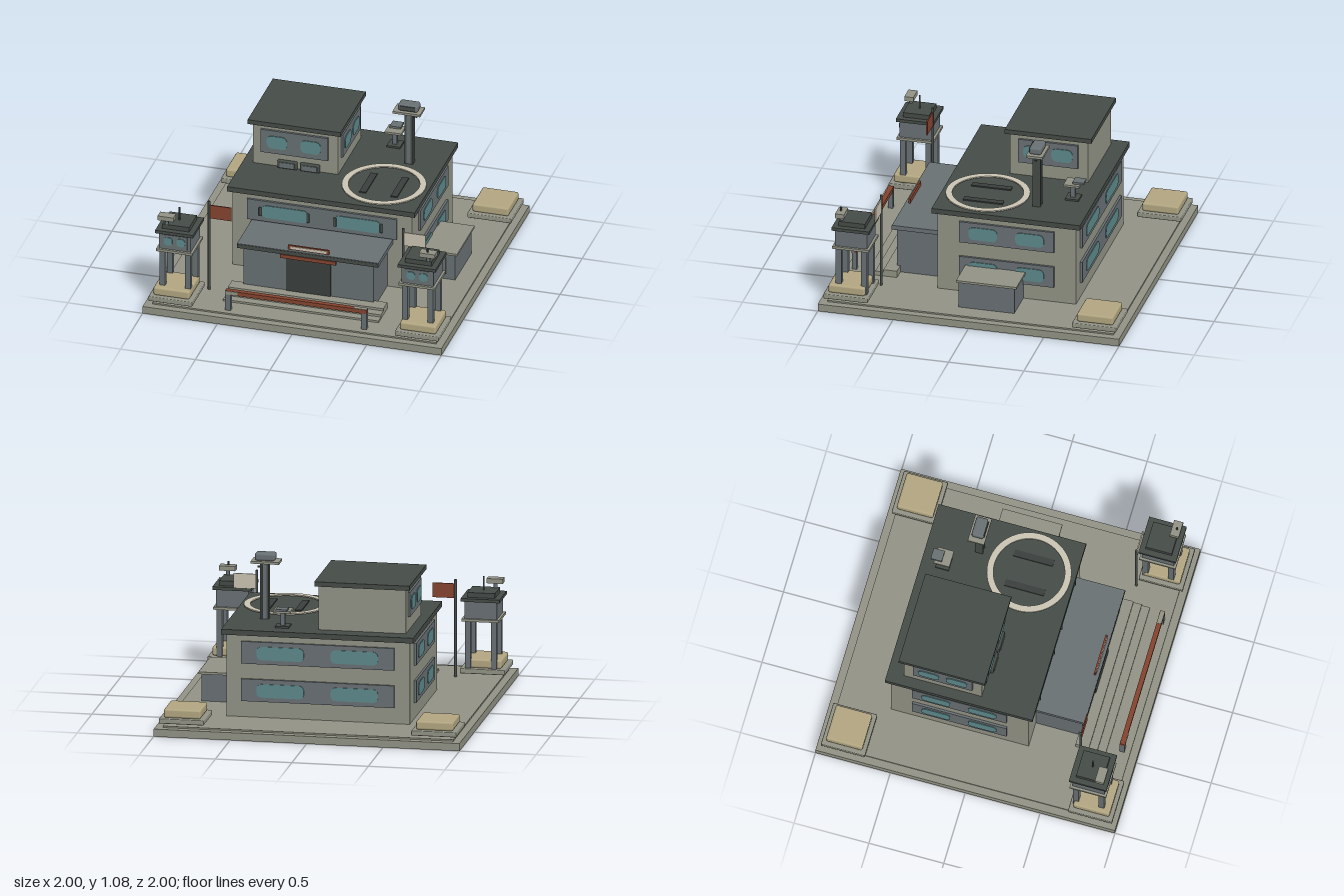
import * as THREE from 'three';
import { RoundedBoxGeometry } from 'three/addons/geometries/RoundedBoxGeometry.js';

const mat = (name, color, side = THREE.FrontSide) => {
  const m = new THREE.MeshStandardMaterial({ color, side });
  m.name = name;
  return m;
};

export function createModel() {
  const concrete = mat('concrete', 0x929385);
  const steel = mat('steel grey', 0x687073);
  const roofDark = mat('dark roof', 0x454b47);
  const doorDark = mat('door dark', 0x3a3f3c);
  const glass = mat('teal glass', 0x5d898b);
  const sand = mat('sand', 0xb1a580);
  const red = mat('rust red', 0x84432f);
  const cream = mat('cream', 0xcac3b2, THREE.DoubleSide);

  const model = new THREE.Group();
  model.name = 'outpost';

  const group = (name, parent = model) => {
    const g = new THREE.Group();
    g.name = name;
    parent.add(g);
    return g;
  };
  // Box given by its limits on each axis
  const box = (parent, name, m, [x0, x1], [y0, y1], [z0, z1], round = 0) => {
    const s = [x1 - x0, y1 - y0, z1 - z0];
    const geo = round ? new RoundedBoxGeometry(...s, 2, round) : new THREE.BoxGeometry(...s);
    const mesh = new THREE.Mesh(geo, m);
    mesh.name = name;
    mesh.position.set((x0 + x1) / 2, (y0 + y1) / 2, (z0 + z1) / 2);
    parent.add(mesh);
    return mesh;
  };
  const pole = (parent, name, m, r, x, y0, y1, z) => {
    const mesh = new THREE.Mesh(new THREE.CylinderGeometry(r, r, y1 - y0, 10), m);
    mesh.name = name;
    mesh.position.set(x, (y0 + y1) / 2, z);
    parent.add(mesh);
  };
  // Flat pane with rounded corners
  const pane = (parent, cx, cy, z, w, h) => {
    const s = new THREE.Shape(), a = w / 2, b = h / 2, r = Math.min(a, b) * 0.75;
    s.absarc(a - r, b - r, r, 0, Math.PI / 2);
    s.absarc(-a + r, b - r, r, Math.PI / 2, Math.PI);
    s.absarc(-a + r, -b + r, r, Math.PI, Math.PI * 1.5);
    s.absarc(a - r, -b + r, r, Math.PI * 1.5, Math.PI * 2);
    const geo = new THREE.ExtrudeGeometry(s, { depth: 0.005, bevelEnabled: false, curveSegments: 5 });
    const mesh = new THREE.Mesh(geo, glass);
    mesh.name = 'windowPane';
    mesh.position.set(cx, cy, z);
    parent.add(mesh);
  };
  // Window band: grey plate with panes, facing local +z
  const windowBand = (parent, pos, turn, w, h, panes, paneH) => {
    const g = group('windowBand', parent);
    g.position.set(...pos);
    g.rotation.y = turn;
    box(g, 'bandPlate', steel, [-w / 2, w / 2], [-h / 2, h / 2], [-0.01, 0.015]);
    for (const [cx, pw] of panes) pane(g, cx, 0, 0.015, pw, paneH);
    return g;
  };
  const RIGHT = Math.PI / 2;

  // Ground slab
  box(model, 'groundSlab', concrete, [-1, 1], [0, 0.05], [-1, 1]);
  box(model, 'yardSlab', concrete, [-0.95, 0.95], [0.05, 0.06], [-0.95, 0.95]);

  // Main building
  const main = group('mainBuilding');
  box(main, 'mainWalls', concrete, [-0.6, 0.6], [0.06, 0.605], [-0.61, 0.31]);
  box(main, 'mainRoof', roofDark, [-0.628, 0.628], [0.605, 0.64], [-0.643, 0.343]);
  const longPanes = [[-0.245, 0.31], [0.24, 0.31]];
  const sidePanes = [[-0.155, 0.19], [0.155, 0.19]];
  const front = windowBand(main, [0, 0.488, 0.31], 0, 1, 0.147, longPanes, 0.088);
  for (const x of [-0.41, -0.09, 0.09, 0.4])
    box(front, 'shutterClip', roofDark, [x - 0.01, x + 0.01], [-0.035, 0.03], [0.015, 0.028], 0.006);
  for (const y of [0.488, 0.24]) {
    windowBand(main, [0, y, -0.61], Math.PI, 1, 0.147, longPanes, 0.088);
    for (const s of [-1, 1])
      windowBand(main, [s * 0.6, y, -0.15], s * RIGHT, 0.63, 0.147, sidePanes, 0.088);
  }

  // Upper storey
  const upper = group('upperStorey');
  box(upper, 'upperWalls', concrete, [-0.56, 0.01], [0.64, 0.935], [-0.535, -0.015]);
  box(upper, 'upperRoof', roofDark, [-0.588, 0.034], [0.932, 0.963], [-0.562, 0.013]);
  const upperPanes = [[-0.115, 0.135], [0.11, 0.135]];
  windowBand(upper, [-0.28, 0.817, -0.015], 0, 0.45, 0.165, upperPanes, 0.09);
  for (const [x, s] of [[-0.56, -1], [0.01, 1]])
    windowBand(upper, [x, 0.817, -0.272], s * RIGHT, 0.395, 0.165, [[-0.093, 0.14], [0.093, 0.14]], 0.09);
  for (const x of [-0.325, -0.175]) {
    box(upper, 'ventUnit', roofDark, [x - 0.066, x + 0.066], [0.64, 0.695], [-0.015, 0.012], 0.008);
    box(upper, 'ventGrille', steel, [x - 0.05, x + 0.05], [0.65, 0.685], [0.01, 0.016]);
  }

  // Entrance block with steps and door
  const entrance = group('entrance');
  box(entrance, 'entranceWalls', steel, [-0.435, 0.435], [0.06, 0.378], [0.31, 0.622]);
  box(entrance, 'entranceRoof', steel, [-0.473, 0.473], [0.376, 0.406], [0.31, 0.645]);
  box(entrance, 'roofEdge', roofDark, [-0.473, 0.473], [0.376, 0.403], [0.645, 0.648]);
  box(entrance, 'door', doorDark, [-0.15, 0.15], [0.1, 0.345], [0.62, 0.63]);
  box(entrance, 'doorLintel', red, [-0.187, 0.187], [0.345, 0.37], [0.62, 0.643]);
  box(entrance, 'signBoard', red, [-0.137, 0.137], [0.406, 0.436], [0.613, 0.625]);
  box(entrance, 'signFace', cream, [-0.12, 0.12], [0.412, 0.43], [0.625, 0.629]);
  [0.69, 0.745, 0.8].forEach((z, i) =>
    box(entrance, 'step', concrete, [-0.52, 0.52], [0.06, 0.105 - i * 0.016], [0.6, z]));

  // Side shed
  const shed = group('sideShed');
  box(shed, 'shedWalls', steel, [0.6, 0.83], [0.06, 0.243], [-0.26, 0.11]);
  box(shed, 'shedRoof', concrete, [0.6, 0.846], [0.241, 0.256], [-0.278, 0.122]);
  box(shed, 'shedHatch', steel, [0.64, 0.77], [0.1, 0.22], [0.11, 0.124]);

  // Gate barrier
  const barrier = group('barrier');
  box(barrier, 'barrierBeam', red, [-0.473, 0.473], [0.175, 0.203], [0.882, 0.914]);
  box(barrier, 'beamEnd', concrete, [-0.474, -0.39], [0.177, 0.201], [0.913, 0.917]);
  box(barrier, 'beamEnd', concrete, [0.385, 0.474], [0.202, 0.206], [0.884, 0.912]);
  for (const x of [-0.455, 0.455])
    box(barrier, 'barrierPost', steel, [x - 0.018, x + 0.018], [0.06, 0.19], [0.88, 0.912]);

  // Corner pads
  for (const sx of [-1, 1]) for (const sz of [-1, 1]) {
    const pad = group('cornerPad');
    pad.position.set(sx * 0.825, 0, sz * 0.825);
    box(pad, 'padSlab', concrete, [-0.147, 0.147], [0.08, 0.113], [-0.147, 0.147], 0.006);
    box(pad, 'sandBlock', sand, [-0.121, 0.121], [0.113, 0.172], [-0.121, 0.121], 0.014);
  }

  // Watchtowers
  for (const s of [-1, 1]) {
    const t = group('watchtower');
    t.position.set(s * 0.812, 0, 0.8);
    for (const x of [-0.085, 0.085]) for (const z of [-0.085, 0.085])
      box(t, 'towerLeg', steel, [x - 0.019, x + 0.019], [0.11, 0.43], [z - 0.019, z + 0.019]);
    box(t, 'towerFloor', concrete, [-0.122, 0.122], [0.425, 0.442], [-0.122, 0.122]);
    box(t, 'towerCabin', steel, [-0.106, 0.106], [0.44, 0.56], [-0.106, 0.106]);
    box(t, 'cabinPlate', steel, [-0.085, 0.085], [0.455, 0.548], [0.106, 0.113]);
    for (const x of [-0.042, 0.042]) pane(t, x, 0.504, 0.113, 0.056, 0.056);
    box(t, 'towerRoof', roofDark, [-0.127, 0.127], [0.557, 0.578], [-0.125, 0.125]);
    box(t, 'towerRoofCap', roofDark, [-0.09, 0.09], [0.578, 0.61], [-0.087, 0.087]);
    pole(t, 'towerAntenna', roofDark, 0.006, s > 0 ? 0.06 : 0, 0.575, 0.7, s > 0 ? 0.08 : 0);
    pole(t, 'lampStem', steel, 0.012, s * 0.063, 0.575, 0.645, 0.075);
    box(t, 'searchLamp', concrete, [s * 0.063 - 0.053, s * 0.063 + 0.053], [0.643, 0.674], [0.045, 0.105]);
  }

  // Flags
  for (const [x, m] of [[-0.652, red], [0.648, cream]]) {
    const f = group('flag');
    pole(f, 'flagPole', roofDark, 0.009, x, 0.06, 0.703, 0.672);
    box(f, 'flagCloth', m, [x + 0.005, x + 0.15], [0.58, 0.676], [0.668, 0.676]);
  }

  // Landing pad on the roof
  const heli = group('landingPad');
  heli.position.set(0.335, 0.64, 0.045);
  const ring = new THREE.Shape().absarc(0, 0, 0.272, 0, Math.PI * 2);
  ring.holes.push(new THREE.Path().absarc(0, 0, 0.23, 0, Math.PI * 2, true));
  const ringMesh = new THREE.Mesh(
    new THREE.ExtrudeGeometry(ring, { depth: 0.008, bevelEnabled: false, curveSegments: 32 }), cream);
  ringMesh.name = 'padRing';
  ringMesh.rotation.x = -Math.PI / 2;
  ringMesh.position.y = 0.006;
  heli.add(ringMesh);
  for (const x of [-0.105, 0.105])
    box(heli, 'landingBar', doorDark, [x - 0.022, x + 0.022], [0, 0.008], [-0.13, 0.133]);

  // Roof mast with sensor head
  const mast = group('roofMast');
  box(mast, 'mastColumn', steel, [0.38, 0.43], [0.64, 1.012], [-0.325, -0.28]);
  for (const x of [0.384, 0.426])
    box(mast, 'mastRail', roofDark, [x - 0.007, x + 0.007], [0.64, 1.012], [-0.329, -0.276]);
  box(mast, 'mastPlatform', concrete, [0.305, 0.49], [1.01, 1.026], [-0.357, -0.247]);
  box(mast, 'sensorHead', steel, [0.335, 0.468], [1.026, 1.076], [-0.342, -0.262], 0.015);
  box(mast, 'sensorFace', roofDark, [0.35, 0.453], [1.036, 1.066], [-0.264, -0.258]);
  box(mast, 'mastNub', roofDark, [0.425, 0.455], [0.975, 0.983], [-0.308, -0.296]);

  // Small relay stand
  const relay = group('relayStand');
  box(relay, 'relayFoot', roofDark, [0.205, 0.295], [0.64, 0.652], [-0.545, -0.455]);
  box(relay, 'relayPost', steel, [0.236, 0.264], [0.65, 0.742], [-0.514, -0.486]);
  box(relay, 'relayPlate', concrete, [0.193, 0.305], [0.74, 0.755], [-0.553, -0.447]);
  box(relay, 'relayBox', steel, [0.211, 0.285], [0.757, 0.771], [-0.577, -0.503]);

  return model;
}
